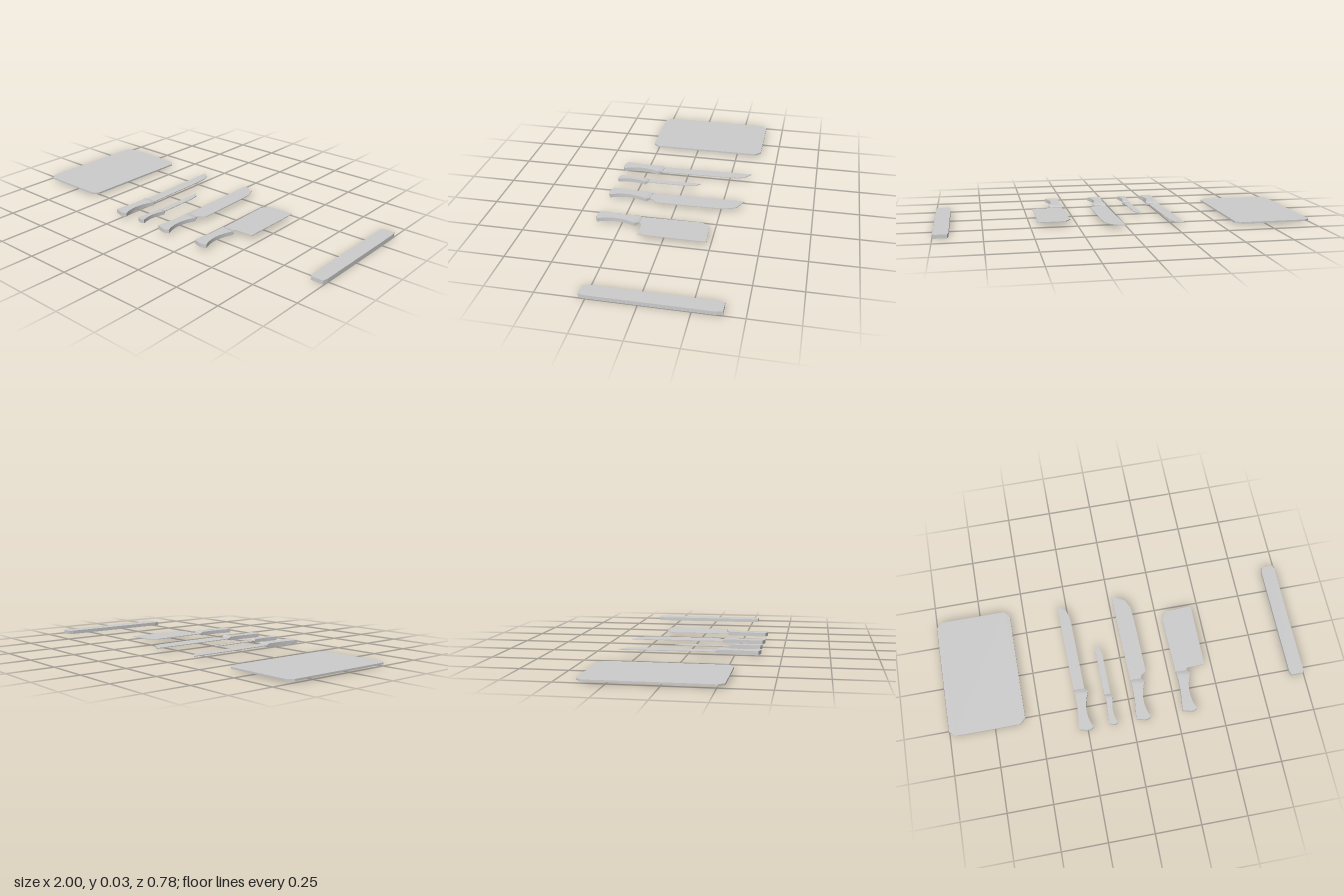
import * as THREE from 'three';
import { toCreasedNormals } from 'three/addons/utils/BufferGeometryUtils.js';

const material = new THREE.MeshStandardMaterial({ color: 0xcccccc });
const MID_Y = 0.0225; // height of the knives' centre plane

function addMesh(parent, name, geometry) {
  const mesh = new THREE.Mesh(geometry, material);
  mesh.name = name;
  parent.add(mesh);
  return mesh;
}

// Flat plate: outline given as [x, z], raised from y0 to y1
function plate(outline, y0, y1) {
  const shape = new THREE.Shape(outline.map(([x, z]) => new THREE.Vector2(x, -z)));
  const geo = new THREE.ExtrudeGeometry(shape, { depth: y1 - y0, bevelEnabled: false });
  return geo.rotateX(-Math.PI / 2).translate(0, y0, 0);
}

// Rectangle with cut corners
function cutRectangle(x0, x1, z0, z1, cx, cz) {
  return [
    [x0 + cx, z0], [x1 - cx, z0], [x1, z0 + cz], [x1, z1 - cz],
    [x1 - cx, z1], [x0 + cx, z1], [x0, z1 - cz], [x0, z0 + cz],
  ];
}

// Sections of a curved grip from bolster to butt: [left x, left z, right x, right z, half height]
const GRIP = [
  [0.012, 0.165, 0.087, 0.172, 0.0105],
  [0.014, 0.22, 0.068, 0.225, 0.0105],
  [0.012, 0.28, 0.060, 0.28, 0.0105],
  [0.005, 0.34, 0.067, 0.34, 0.0105],
  [0.002, 0.378, 0.082, 0.38, 0.0105],
];

function handleGeometry() {
  const left = new THREE.CatmullRomCurve3(GRIP.map((r) => new THREE.Vector3(r[0], r[4], r[1])));
  const right = new THREE.CatmullRomCurve3(GRIP.map((r) => new THREE.Vector3(r[2], r[4], r[3])));
  const rows = [[0.010, 0.15, 0.070, 0.15, 0.004]];
  for (let i = 0; i <= 12; i++) {
    const l = left.getPoint(i / 12), r = right.getPoint(i / 12);
    rows.push([l.x, l.z, r.x, r.z, l.y]);
  }
  rows.push([0.045, 0.39, 0.062, 0.39, 0.0105]);

  const pos = [], index = [];
  for (const [xl, zl, xr, zr, h] of rows) {
    pos.push(xl, h, zl, xr, h, zr, xr, -h, zr, xl, -h, zl);
  }
  for (let i = 0; i < rows.length - 1; i++) {
    for (let j = 0; j < 4; j++) {
      const a = i * 4 + j, d = i * 4 + (j + 1) % 4;
      index.push(a, a + 4, d + 4, a, d + 4, d);
    }
  }
  const e = (rows.length - 1) * 4;
  index.push(0, 1, 2, 0, 2, 3, e, e + 2, e + 1, e, e + 3, e + 2);
  const geo = new THREE.BufferGeometry();
  geo.setAttribute('position', new THREE.Float32BufferAttribute(pos, 3));
  geo.setIndex(index);
  return toCreasedNormals(geo, 0.5);
}

// Blade outlines as [x, z]; the grip starts at gripX and may be scaled
const KNIVES = [
  {
    name: 'carvingKnife', gripX: -0.30, scaleX: 1, scaleZ: 1,
    blade: [[-0.30, -0.372], [-0.257, -0.338], [-0.243, -0.30], [-0.238, -0.24],
      [-0.23, 0.155], [-0.29, 0.155], [-0.297, -0.16]],
  },
  {
    name: 'paringKnife', gripX: -0.132, scaleX: 0.58, scaleZ: 0.74,
    blade: [[-0.132, -0.097], [-0.106, -0.073], [-0.096, -0.03], [-0.092, 0.213],
      [-0.127, 0.213], [-0.13, 0.03]],
  },
  {
    name: 'chefKnife', gripX: 0.02, scaleX: 1, scaleZ: 1,
    blade: [[0.02, -0.372], [0.092, -0.335], [0.115, -0.285], [0.121, -0.20],
      [0.126, 0.113], [0.096, 0.136], [0.09, 0.155], [0.03, 0.155], [0.023, -0.16]],
  },
  {
    name: 'cleaver', gripX: 0.28, scaleX: 1, scaleZ: 1,
    blade: [[0.282, -0.175], [0.31, -0.222], [0.46, -0.228], [0.459, 0.133],
      [0.357, 0.137], [0.35, 0.155], [0.29, 0.155]],
  },
];

export function createModel() {
  const model = new THREE.Group();
  model.name = 'kitchenKnifeSet';

  // Cutting board and wall rack bar
  addMesh(model, 'cuttingBoard', plate(cutRectangle(-1, -0.58, -0.395, 0.285, 0.03, 0.03), 0.008, 0.017));
  addMesh(model, 'rackBar', plate(cutRectangle(0.92, 1, -0.395, 0.285, 0.007, 0.028), 0, 0.02));

  // Knives: thin blade plus curved handle
  const grip = handleGeometry();
  for (const { name, gripX, scaleX, scaleZ, blade } of KNIVES) {
    const knife = new THREE.Group();
    knife.name = name;
    addMesh(knife, 'blade', plate(blade, MID_Y - 0.002, MID_Y + 0.002));
    const handle = addMesh(knife, 'handle', grip);
    handle.scale.set(scaleX, 1, scaleZ);
    handle.position.set(gripX, MID_Y, 0.39 * (1 - scaleZ) - (scaleZ < 1 ? 0.005 : 0));
    model.add(knife);
  }
  return model;
}
